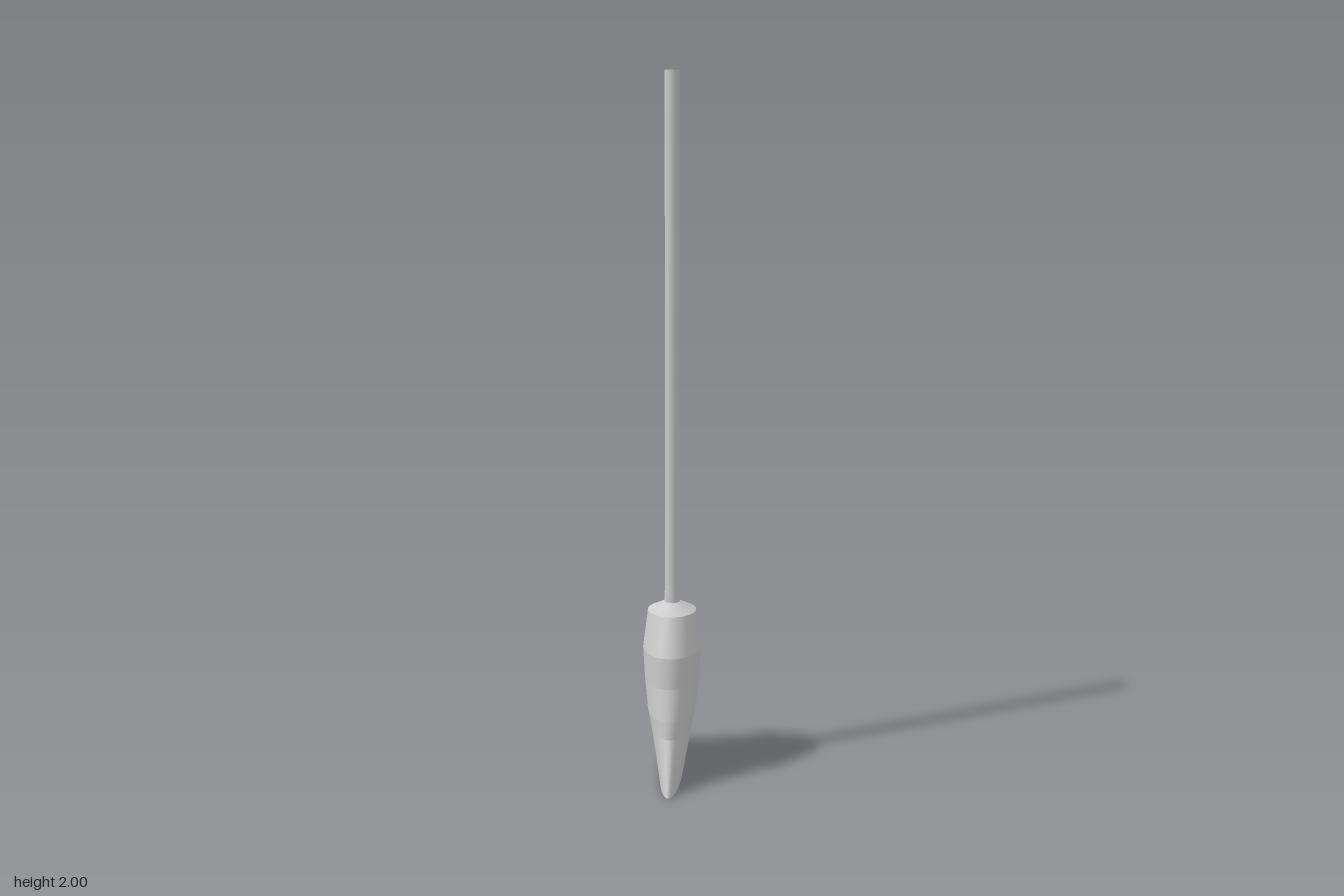
import * as THREE from 'three';
import { mergeGeometries, mergeVertices } from 'three/addons/utils/BufferGeometryUtils.js';

const SIDES = 48;

// Open elliptical band between two sections [y, half width x, half depth z]
function band(lower, upper) {
  const geo = new THREE.CylinderGeometry(1, 1, 1, SIDES, 1, true);
  const pos = geo.attributes.position;
  for (let i = 0; i < pos.count; i++) {
    const [y, a, b] = pos.getY(i) > 0 ? upper : lower;
    pos.setXYZ(i, pos.getX(i) * a, y, pos.getZ(i) * b);
  }
  // Weld the seam so the band shades smoothly all the way round
  geo.deleteAttribute('uv');
  geo.deleteAttribute('normal');
  const welded = mergeVertices(geo);
  welded.computeVertexNormals();
  return welded;
}

// Stack of bands with a crisp edge at every section
function loft(sections) {
  return mergeGeometries(sections.slice(1).map((s, i) => band(sections[i], s)));
}

export function createModel() {
  const group = new THREE.Group();
  const material = new THREE.MeshStandardMaterial({ color: 0xcccccc });
  const add = (name, geo) => {
    const mesh = new THREE.Mesh(geo, material);
    mesh.name = name;
    group.add(mesh);
    return mesh;
  };

  // Bristles: round at the binding, flaring to a thin wide sweep edge
  add('bristles', loft([
    [0, 0.034, 0.208],
    [0.15, 0.061, 0.152],
    [0.2, 0.071, 0.146],
    [0.29, 0.079, 0.126],
    [0.38, 0.084, 0.12],
  ]));

  // Flat underside of the bristles
  const underside = add('bristleEnd', new THREE.CircleGeometry(1, SIDES).rotateX(Math.PI / 2));
  underside.scale.set(0.034, 1, 0.208);

  // Binding: shoulder, short collar and shallow domed top
  add('binding', loft([
    [0.38, 0.084, 0.12],
    [0.49, 0.07, 0.077],
    [0.515, 0.021, 0.021],
  ]));

  // Ferrule around the foot of the handle
  add('ferrule', new THREE.CylinderGeometry(0.02, 0.023, 0.07, 24).translate(0, 0.535, 0));

  // Long straight handle
  add('handle', new THREE.CylinderGeometry(0.02, 0.02, 1.5, 24).translate(0, 1.25, 0));

  return group;
}
